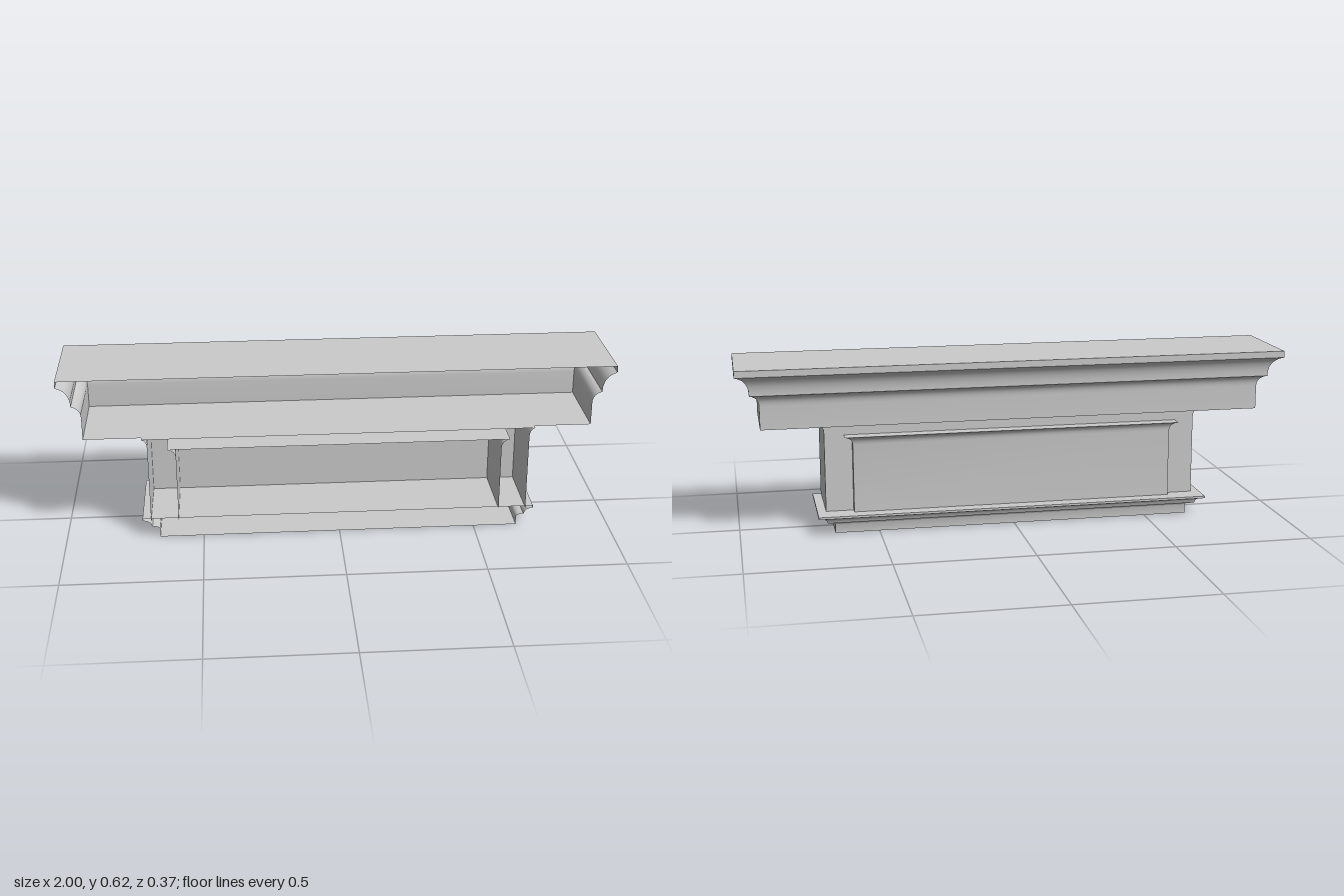
import * as THREE from 'three';
import { toCreasedNormals } from 'three/addons/utils/BufferGeometryUtils.js';

const material = new THREE.MeshStandardMaterial({ color: 0xcccccc, side: THREE.DoubleSide });

// Shell open at the front: a profile of [y, halfWidth, backZ] rows, bottom to top,
// carried round both sides and the back, with optional flat floor and lid.
function shell(name, profile, frontZ, { floor = false, lid = true } = {}) {
  const positions = [];
  const quad = (a, b, c, d) => positions.push(...a, ...b, ...c, ...a, ...c, ...d);
  const ring = ([y, x, z]) => [[x, y, frontZ], [x, y, z], [-x, y, z], [-x, y, frontZ]];
  const rings = profile.map(ring);
  for (let i = 0; i < rings.length - 1; i++) {
    for (let j = 0; j < 3; j++) {
      quad(rings[i][j], rings[i][j + 1], rings[i + 1][j + 1], rings[i + 1][j]);
    }
  }
  if (floor) quad(...[...rings[0]].reverse());
  if (lid) quad(...rings[rings.length - 1]);

  const geometry = new THREE.BufferGeometry();
  geometry.setAttribute('position', new THREE.Float32BufferAttribute(positions, 3));
  const mesh = new THREE.Mesh(toCreasedNormals(geometry, Math.PI / 5), material);
  mesh.name = name;
  return mesh;
}

// Concave moulding from one [y, x, z] row to another, rising first and then flaring out
function cove(from, to, steps = 6) {
  const corner = [from[0] + (to[0] - from[0]) * 0.8, from[1], from[2]];
  const curve = new THREE.QuadraticBezierCurve3(
    new THREE.Vector3(...from), new THREE.Vector3(...corner), new THREE.Vector3(...to));
  return curve.getPoints(steps).map((p) => p.toArray());
}

export function createModel() {
  const group = new THREE.Group();
  group.name = 'entablature';

  // Crowning cornice with two coves and a flat top edge
  group.add(shell('cornice', [
    [0.4, 0.916, -0.129],
    ...cove([0.485, 0.916, -0.129], [0.527, 0.95, -0.152]),
    ...cove([0.53, 0.95, -0.152], [0.6, 1, -0.185]),
    [0.624, 1, -0.185],
  ], 0.171, { floor: true }));

  // Outer body, flared sideways just under the cornice
  group.add(shell('body', [
    [0.075, 0.69, -0.075],
    ...cove([0.365, 0.69, -0.075], [0.399, 0.71, -0.075], 4),
  ], 0.186));

  // Raised central panel with a flared lip
  group.add(shell('panel', [
    [0.075, 0.59, -0.102],
    ...cove([0.325, 0.59, -0.102], [0.357, 0.62, -0.123], 4),
  ], 0.186));

  // Stepped base moulding
  group.add(shell('base', [
    [0, 0.66, -0.102],
    ...cove([0.033, 0.66, -0.102], [0.043, 0.687, -0.122], 4),
    ...cove([0.046, 0.69, -0.124], [0.067, 0.722, -0.152]),
    [0.075, 0.722, -0.152],
  ], 0.171, { floor: true }));

  return group;
}
